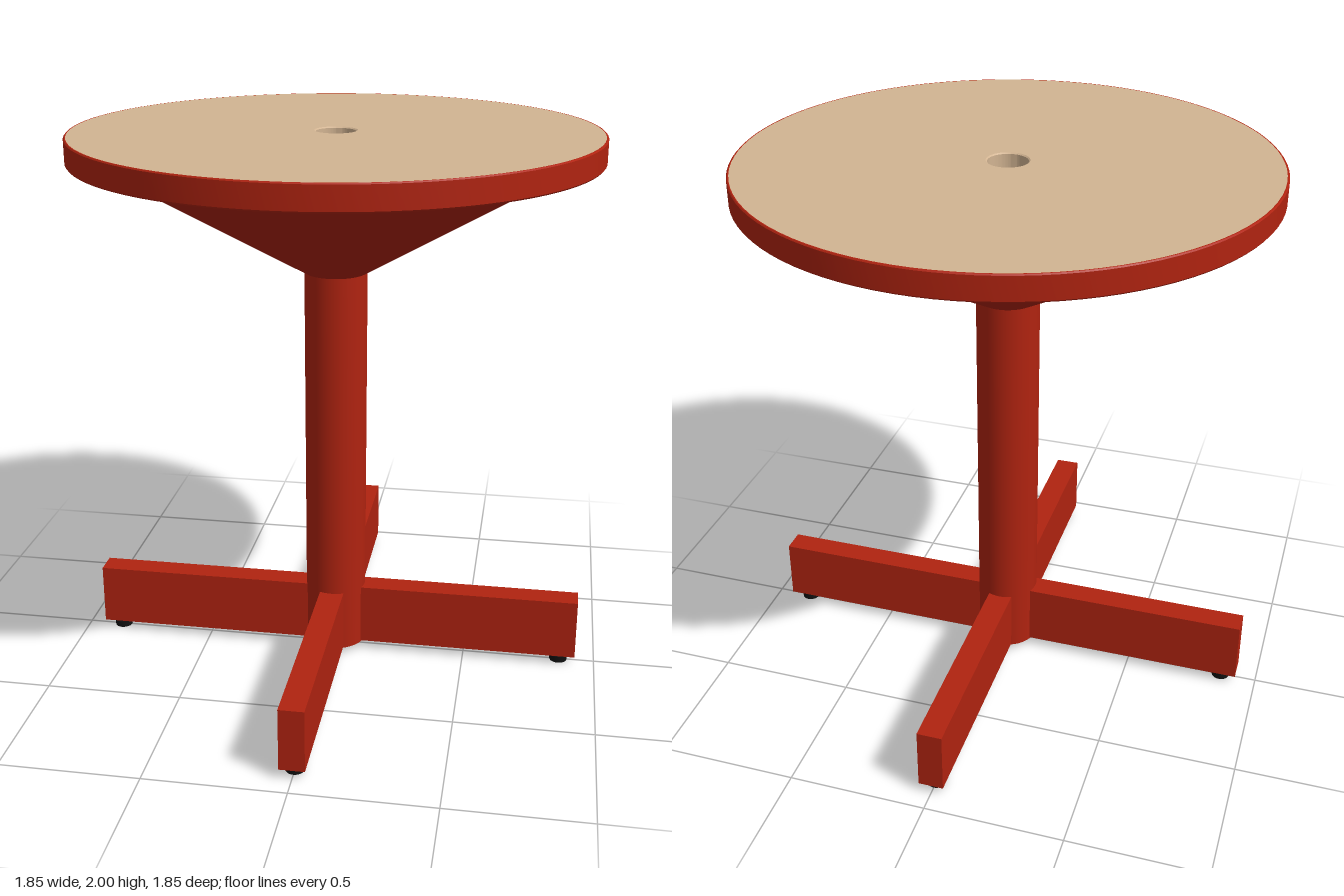
import * as THREE from 'three';
import { toCreasedNormals } from 'three/addons/utils/BufferGeometryUtils.js';

export function createModel() {
  const table = new THREE.Group();
  table.name = 'pedestalTable';

  const red = new THREE.MeshStandardMaterial({ color: 0xb02310 });
  red.name = 'red paint';
  const tan = new THREE.MeshStandardMaterial({ color: 0xd2b492 });
  tan.name = 'tan top';
  const black = new THREE.MeshStandardMaterial({ color: 0x101010 });
  black.name = 'black rubber';

  const add = (parent, name, geometry, material, x = 0, y = 0, z = 0) => {
    const mesh = new THREE.Mesh(geometry, material);
    mesh.name = name;
    mesh.position.set(x, y, z);
    parent.add(mesh);
    return mesh;
  };
  // Revolved profile with sharp corners; points run counter-clockwise
  const turned = (points, segments = 96) => toCreasedNormals(
    new THREE.LatheGeometry(points.map(([r, y]) => new THREE.Vector2(r, y)), segments), 0.6);
  const drum = (radius, height, segments = 24) =>
    new THREE.CylinderGeometry(radius, radius, height, segments);

  // Rim band with a hollow underside
  add(table, 'rim', turned([
    [0.875, 1.955], [0.875, 1.915], [0.878, 1.912], [0.922, 1.912], [0.926, 1.917],
    [0.926, 1.996], [0.922, 2.0], [0.918, 2.0],
  ]), red);

  // Inlaid top with a central hole
  add(table, 'tabletop', turned([
    [0.918, 2.0], [0.075, 2.0], [0.07, 1.996], [0.07, 1.945],
  ]), tan);
  add(table, 'holeFloor', new THREE.CircleGeometry(0.075, 32).rotateX(-Math.PI / 2), red, 0, 1.947, 0);

  // Funnel under the top
  add(table, 'funnel', new THREE.CylinderGeometry(0.88, 0.113, 0.45, 96, 1, true), red, 0, 1.725, 0);

  // Column
  add(table, 'column', drum(0.113, 1.475, 48), red, 0, 0.7675, 0);
  add(table, 'columnDrainHole', drum(0.012, 0.004, 16), black, 0, 0.029, 0);

  // Four legs with bolts and feet
  for (let i = 0; i < 4; i++) {
    const leg = new THREE.Group();
    leg.name = `leg${i + 1}`;
    leg.rotation.y = i * Math.PI / 2;
    add(leg, 'beam', new THREE.BoxGeometry(0.836, 0.23, 0.09), red, 0.508, 0.15, 0);
    for (const x of [0.165, 0.28]) {
      add(leg, 'boltHead', new THREE.CylinderGeometry(0.022, 0.015, 0.016, 16), black, x, 0.028, 0);
    }
    add(leg, 'footPad', drum(0.033, 0.024), black, 0.865, 0.012, 0);
    add(leg, 'footStem', drum(0.024, 0.014), black, 0.865, 0.03, 0);
    table.add(leg);
  }
  return table;
}
